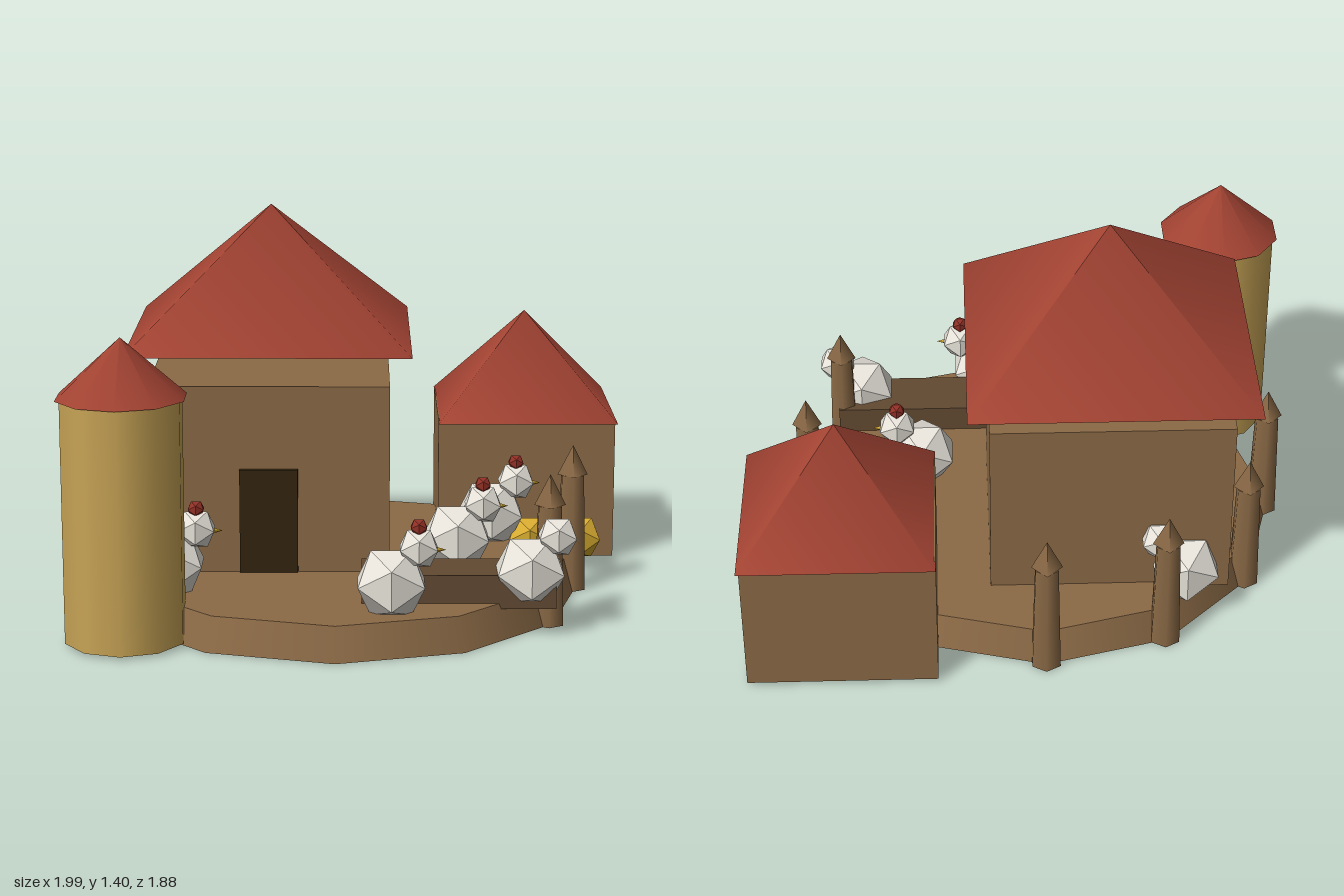
import * as THREE from 'three';

const mat = (name, color) => {
  const m = new THREE.MeshStandardMaterial({ color });
  m.name = name;
  return m;
};

export function createModel() {
  const wood = mat('wood brown', 0x8b6a46);
  const darkWood = mat('dark wood', 0x634a32);
  const doorDark = mat('door dark', 0x332610);
  const roofRed = mat('roof red', 0xa04232);
  const straw = mat('straw', 0xc8a456);
  const white = mat('feather white', 0xe6e2d9);
  const combRed = mat('comb red', 0x8f2f25);
  const gold = mat('grain yellow', 0xd8ac30);

  const model = new THREE.Group();
  const add = (parent, name, geometry, material, x, y, z) => {
    const mesh = new THREE.Mesh(geometry, material);
    mesh.name = name;
    mesh.position.set(x, y, z);
    parent.add(mesh);
    return mesh;
  };
  const box = (name, material, x0, x1, y0, y1, z0, z1) =>
    add(model, name, new THREE.BoxGeometry(x1 - x0, y1 - y0, z1 - z0), material,
      (x0 + x1) / 2, (y0 + y1) / 2, (z0 + z1) / 2);
  // Square pyramid roof with its sides along the axes
  const pyramid = (name, half, y0, y1, x, z) => {
    const g = new THREE.ConeGeometry(half * Math.SQRT2, y1 - y0, 4).rotateY(Math.PI / 4);
    add(model, name, g, roofRed, x, (y0 + y1) / 2, z);
  };

  // Twelve-sided ground
  const cx = -0.06, cz = 0.06;
  add(model, 'ground', new THREE.CylinderGeometry(0.84, 0.878, 0.12, 12), wood, cx, 0.06, cz);

  // Main house with a raised roof and a door
  box('houseWalls', wood, -0.73, 0.13, 0.1, 0.8, -0.522, 0.26);
  box('door', doorDark, -0.406, -0.198, 0.122, 0.5, 0.24, 0.282);
  pyramid('houseRoof', 0.507, 0.925, 1.397, -0.3, -0.13);

  // Barn
  box('barnWalls', wood, 0.322, 0.992, 0.012, 0.545, -0.895, -0.318);
  pyramid('barnRoof', 0.338, 0.54, 0.917, 0.66, -0.608);

  // Silo
  add(model, 'silo', new THREE.CylinderGeometry(0.212, 0.212, 0.855, 10), straw, -0.78, 0.4375, 0.688);
  add(model, 'siloRoof', new THREE.ConeGeometry(0.228, 0.205, 10), roofRed, -0.78, 0.959, 0.688);

  // Fence posts around the back and sides
  const postGeo = new THREE.CylinderGeometry(0.046, 0.058, 0.43, 6);
  const tipGeo = new THREE.ConeGeometry(0.055, 0.11, 4);
  for (const deg of [0, 30, 150, 180, 210, 240, 270]) {
    const a = THREE.MathUtils.degToRad(deg);
    const post = new THREE.Group();
    post.name = 'fencePost';
    post.position.set(cx + 0.86 * Math.cos(a), 0, cz + 0.86 * Math.sin(a));
    add(post, 'postShaft', postGeo, wood, 0, 0.215, 0);
    add(post, 'postTip', tipGeo, wood, 0, 0.485, 0);
    model.add(post);
  }

  // Feeding trough
  box('trough', darkWood, 0.03, 0.7, 0.1, 0.22, 0.435, 0.645);

  // Birds facing +x; the plain ones have no comb or beak
  const bodyGeo = new THREE.IcosahedronGeometry(0.134, 0);
  const headGeo = new THREE.IcosahedronGeometry(0.075, 0);
  const combGeo = new THREE.IcosahedronGeometry(0.032, 0);
  const beakGeo = new THREE.ConeGeometry(0.02, 0.06, 4).rotateZ(-Math.PI / 2);
  const birds = [
    [0.13, 0.22, 0.73, true], [0.375, 0.22, 0.155, true], [0.515, 0.22, -0.18, true],
    [-0.64, 0.22, 0.49, true], [0.612, 0.22, 0.585, false], [-0.57, 0.2, -0.53, false],
  ];
  for (const [x, y, z, crested] of birds) {
    const bird = new THREE.Group();
    bird.name = crested ? 'hen' : 'chick';
    bird.position.set(x, y, z);
    add(bird, 'body', bodyGeo, white, 0, 0, 0);
    add(bird, 'head', headGeo, white, 0.093, 0.122, 0);
    if (crested) {
      add(bird, 'comb', combGeo, combRed, 0.093, 0.195, 0);
      add(bird, 'beak', beakGeo, gold, 0.155, 0.117, 0);
    }
    model.add(bird);
  }

  // Grain heaps beside the barn
  const grainGeo = new THREE.IcosahedronGeometry(0.088, 0);
  for (const x of [0.66, 0.85]) add(model, 'grainHeap', grainGeo, gold, x, 0.125, -0.18);

  return model;
}
